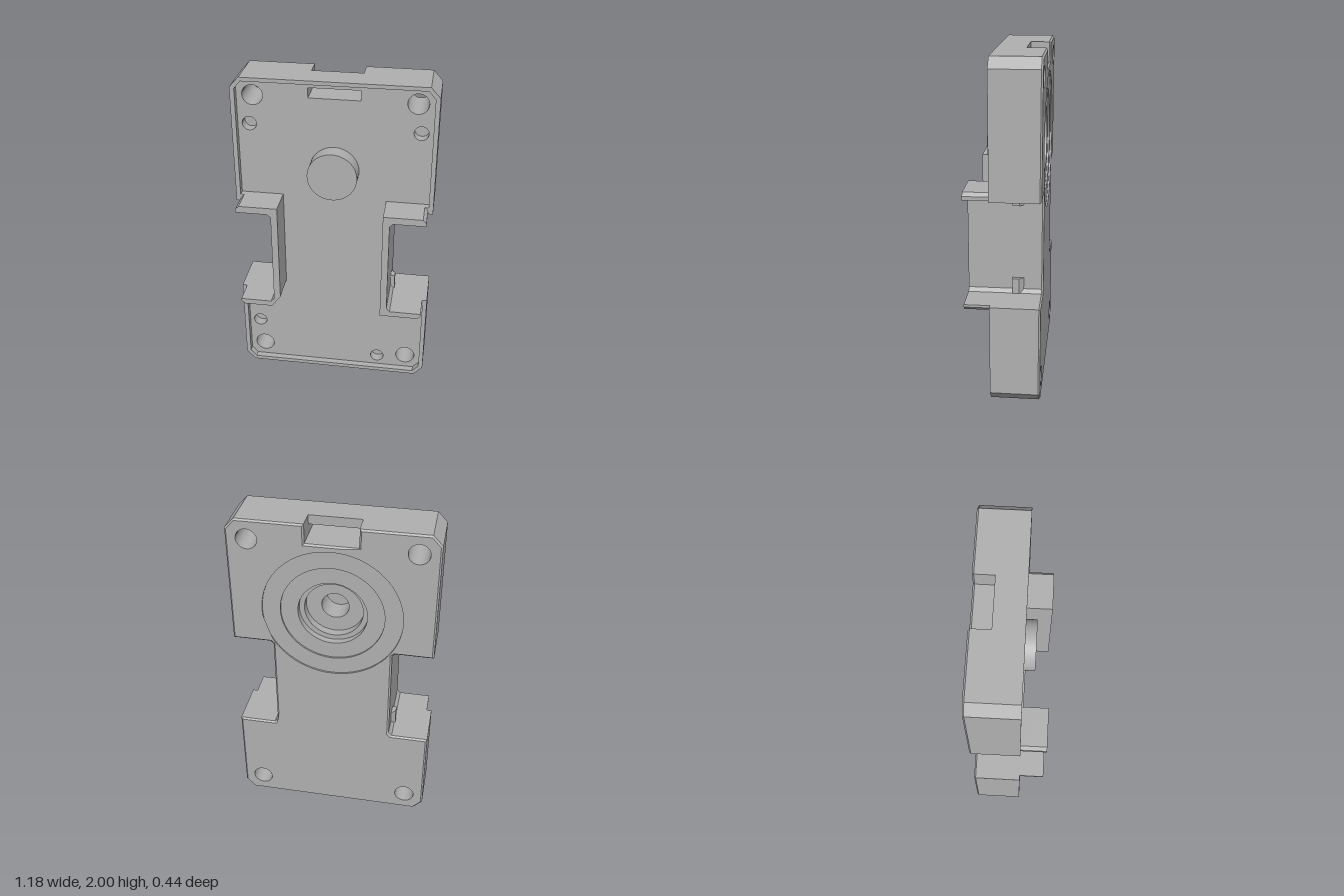
import * as THREE from 'three';
import { toCreasedNormals } from 'three/addons/utils/BufferGeometryUtils.js';

const V = (x, y) => new THREE.Vector2(x, y);
const mirror = (pts) => pts.map((p) => V(-p.x, p.y)).reverse();

// Outer contour with cut corners and side notches, inset by d;
// optional open notch in the top edge
function outline(d, topNotch) {
  const right = [
    V(0.535 - d * 0.4, d), V(0.59 - d, 0.06 + d * 0.4),
    V(0.59 - d, 0.6 - d), V(0.37 - d, 0.6 - d), V(0.35 - d, 0.622 - d),
    V(0.35 - d, 1.202 + d), V(0.37 - d, 1.22 + d), V(0.59 - d, 1.22 + d),
    V(0.59 - d, 1.94 - d * 0.4), V(0.535 - d * 0.4, 2 - d),
  ];
  if (topNotch) right.push(V(0.15 + d, 2 - d), V(0.15 + d, 1.885 - d));
  return [...right, ...mirror(right)];
}

// Inner contour of the raised front rim
function rimInner() {
  const right = [
    V(0.525, 0.025), V(0.563, 0.068), V(0.563, 0.565), V(0.31, 0.565),
    V(0.31, 1.262), V(0.563, 1.262), V(0.563, 1.932), V(0.525, 1.977),
  ];
  const left = mirror(right);
  left.splice(4, 1, V(-0.31, 0.64), V(-0.365, 0.565));
  return [...right, ...left];
}

const circle = (x, y, r) => new THREE.Path().absarc(x, y, r, 0, Math.PI * 2, true);

function extrude(points, holes, z0, z1) {
  const shape = new THREE.Shape(points);
  shape.holes.push(...holes);
  const geo = new THREE.ExtrudeGeometry(shape, { depth: z1 - z0, bevelEnabled: false, curveSegments: 32 });
  return geo.translate(0, 0, z0);
}

export function createModel() {
  const group = new THREE.Group();
  const grey = new THREE.MeshStandardMaterial({ color: 0xb0b0b0 });
  grey.name = 'grey plastic';

  function add(name, geo) {
    const mesh = new THREE.Mesh(toCreasedNormals(geo, 0.5), grey);
    mesh.name = name;
    group.add(mesh);
    return mesh;
  }

  const cy = 1.445; // height of the round bore and boss
  const screwHoles = () => [-0.47, 0.47].flatMap((x) => [0.12, 1.885].map((y) => circle(x, y, 0.06)));
  const slot = () => new THREE.Path([V(-0.15, 1.885), V(-0.15, 1.945), V(0.15, 1.945), V(0.15, 1.885)]);
  const pinHoles = () => [[-0.495, 1.71], [0.495, 1.71], [-0.495, 0.305], [0.285, 0.095]]
    .map(([x, y]) => circle(x, y, 0.042));

  // Back skin: its rear edge is chamfered by pulling the contour inward
  const skin = extrude(outline(0, true), [...screwHoles(), circle(0, cy, 0.405)], -0.22, -0.21);
  const from = outline(0, true), to = outline(0.01, true);
  const pos = skin.attributes.position;
  for (let i = 0; i < pos.count; i++) {
    if (pos.getZ(i) > -0.215) continue;
    const k = from.findIndex((p) => Math.hypot(p.x - pos.getX(i), p.y - pos.getY(i)) < 1e-4);
    if (k >= 0) pos.setXY(i, to[k].x, to[k].y);
  }
  add('backSkin', skin);

  // Body in layers, each with its own step of the rear bore: z0, z1, radius
  const layers = [
    [-0.21, -0.2, 0.3], [-0.2, -0.16, 0.2], [-0.16, -0.11, 0.17],
    [-0.11, -0.1, 0.08], [-0.1, -0.03, 0.08], [-0.03, 0.03, 0.08],
  ];
  layers.forEach(([z0, z1, r], i) => {
    const holes = [...screwHoles(), circle(0, cy, r)];
    const notched = i < 4;
    if (!notched) holes.push(slot());
    if (i === 5) holes.push(...pinHoles());
    add('bodyLayer' + (i + 1), extrude(outline(0, notched), holes, z0, z1));
  });

  // Raised rim around the front floor
  add('frontRim', extrude(outline(0, false), [new THREE.Path(rimInner())], 0.03, 0.07));

  // Round boss on the front, closing the bore
  const boss = new THREE.CylinderGeometry(0.146, 0.146, 0.1, 64);
  boss.rotateX(Math.PI / 2).translate(0, cy, 0.08);
  add('frontBoss', boss);

  // U-shaped side brackets and small retaining nubs in the notches
  for (const s of [1, -1]) {
    const side = s > 0 ? 'left' : 'right';
    const corner = s > 0 ? [[0.31, 0.565]] : [[0.31, 0.64], [0.365, 0.565]];
    const bracket = [
      ...corner, [0.54, 0.565], [0.56, 0.585], [0.56, 0.6], [0.37, 0.6], [0.35, 0.622],
      [0.35, 1.202], [0.37, 1.22], [0.56, 1.22], [0.56, 1.242], [0.54, 1.262], [0.31, 1.262],
    ].map(([x, y]) => V(s * x, y));
    add(side + 'Bracket', extrude(bracket, [], 0.07, 0.22));

    const nub = [[0.34, 0.105], [0.35, 0.105], [0.376, 0.08], [0.376, 0.04], [0.34, 0.04]]
      .map(([x, y]) => V(s * x, y));
    for (const [name, y0, y1] of [['LowerNub', 0.6, 0.692], ['UpperNub', 1.138, 1.22]]) {
      add(side + name, extrude(nub, [], y0, y1).rotateX(-Math.PI / 2));
    }
  }
  return group;
}
